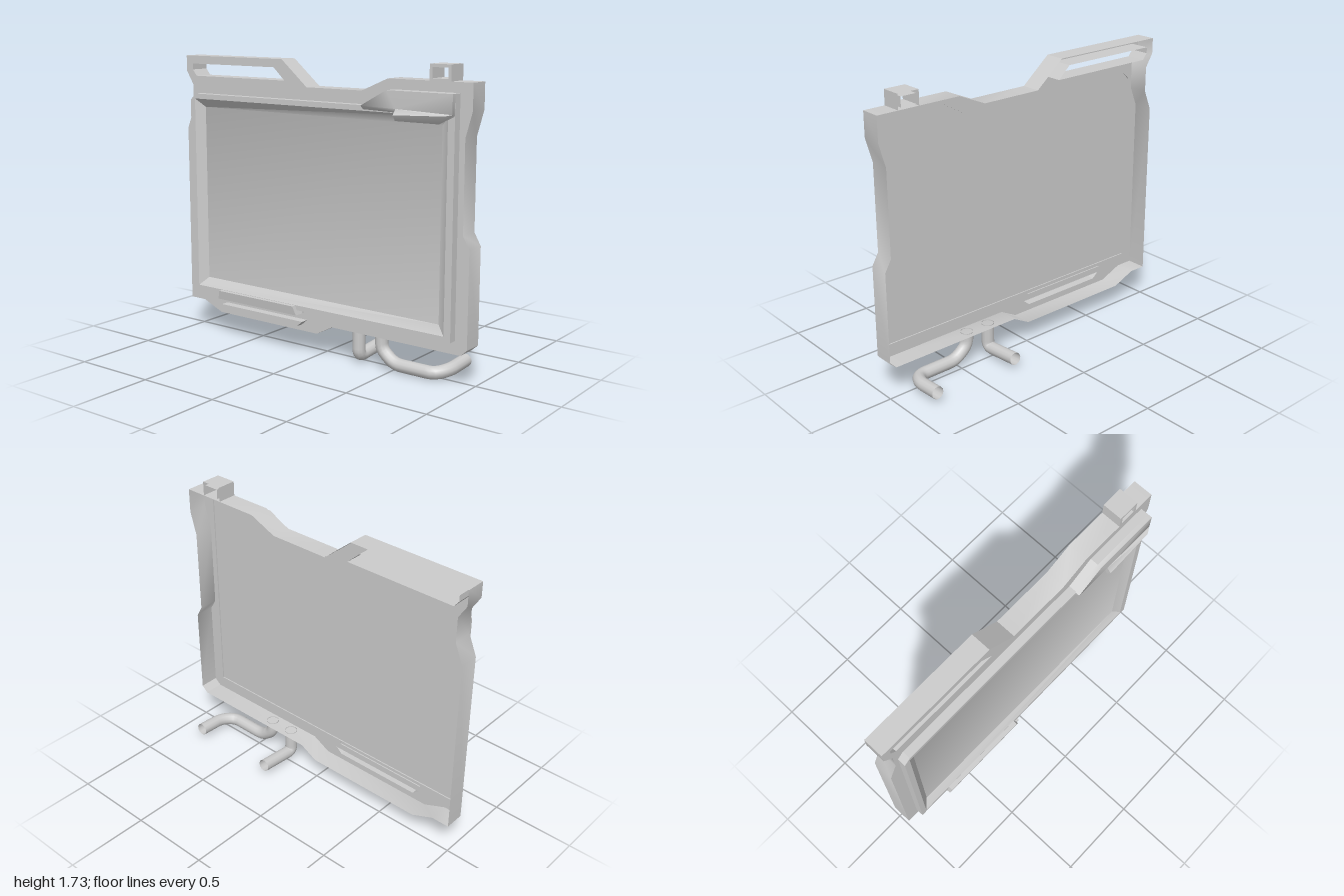
import * as THREE from 'three';
import { ConvexGeometry } from 'three/addons/geometries/ConvexGeometry.js';
import { mergeGeometries, toCreasedNormals } from 'three/addons/utils/BufferGeometryUtils.js';

const material = new THREE.MeshStandardMaterial({ color: 0xcccccc, side: THREE.DoubleSide });
const vectors = (pts) => pts.map(([x, y]) => new THREE.Vector2(x, y));
const rect = (x0, y0, x1, y1) => [[x0, y0], [x1, y0], [x1, y1], [x0, y1]];

// Flat sheet with holes at height z
function sheet(pts, z, holes = []) {
  const shape = new THREE.Shape(vectors(pts));
  shape.holes = holes.map((h) => new THREE.Path(vectors(h)));
  const geometry = new THREE.ShapeGeometry(shape).toNonIndexed().translate(0, 0, z);
  geometry.deleteAttribute('uv');
  return geometry;
}

// Polygons given as corner lists, each split into a fan of triangles
function facets(polygons) {
  const pos = polygons.flatMap((p) => p.slice(2).flatMap((c, i) => [...p[0], ...p[i + 1], ...c]));
  const geometry = new THREE.BufferGeometry();
  geometry.setAttribute('position', new THREE.Float32BufferAttribute(pos, 3));
  geometry.computeVertexNormals();
  return geometry;
}

// Band of quads from loop a at z0 to the matching loop b at z1
const band = (a, b, z0, z1) => facets(a.map((p, i) => {
  const j = (i + 1) % a.length;
  return [[...p, z0], [...a[j], z0], [...b[j], z1], [...b[i], z1]];
}));

// Hollow pressing, open at the back: a front sheet with walls around it and around some holes
function shell(pts, back, front, walledHoles = [], plainHoles = []) {
  return mergeGeometries([
    sheet(pts, front, [...walledHoles, ...plainHoles]),
    band(pts, pts, back, front),
    ...walledHoles.map((h) => band([...h].reverse(), [...h].reverse(), back, front)),
  ]);
}

export function createModel() {
  const model = new THREE.Group();
  model.name = 'displayPanel';
  const add = (name, geometry) => {
    const mesh = new THREE.Mesh(geometry, material);
    mesh.name = name;
    model.add(mesh);
  };

  // Outer case with carry handle, notched sides and stepped lower edge
  const caseOutline = [
    [-1, 0.192], [-0.89, 0.192], [-0.75, 0.133], [0, 0.133], [0.11, 0.192], [0.96, 0.192],
    [1, 0.227], [1, 0.773], [0.96, 0.843], [0.96, 1.352], [1, 1.493], [1, 1.638],
    [0.48, 1.638], [0.31, 1.565], [-0.07, 1.565], [-0.25, 1.716], [-1, 1.716],
    [-1, 1.623], [-0.95, 1.543], [-0.95, 1.393], [-1, 1.273],
  ];
  const handleHole = [[-0.92, 1.595], [-0.23, 1.595], [-0.31, 1.668], [-0.95, 1.668], [-0.95, 1.632]];
  const slot = [[-0.66, 0.17], [-0.11, 0.17], [-0.07, 0.204], [-0.7, 0.204]];
  const upperEdge = [[0.926, 1.582], [0.52, 1.582], [0.36, 1.492], [-0.885, 1.492], [-0.925, 1.454]];
  const backOutline = [
    [-0.925, 0.268], [-0.71, 0.268], [-0.71, 0.242], [-0.1, 0.242], [-0.1, 0.268],
    [0.926, 0.268], ...upperEdge,
  ];
  add('case', toCreasedNormals(shell(caseOutline, -0.015, 0.105, [handleHole], [backOutline, slot]), 0.6));
  add('backPanel', sheet(backOutline, 0.112));
  add('backPanelRim', band(backOutline, backOutline, 0.105, 0.112));
  add('lowerBar', shell(slot, 0.105, 0.155));

  // Square strap loop on the top edge
  add('strapLoop', shell(rect(0.74, 1.638, 0.87, 1.725), -0.015, 0.105, [rect(0.757, 1.65, 0.853, 1.708)]));

  // Raised surround
  const opening = rect(-0.89, 0.297, 0.885, 1.462);
  const glass = rect(-0.84, 0.347, 0.835, 1.411);
  add('bezel', shell([[-0.925, 0.268], [0.926, 0.268], ...upperEdge], 0.105, 0.155, [], [opening]));

  // Sloping walls and the screen, which lies a little shallower towards its left
  const tray = mergeGeometries([band(opening, glass, 0.155, 0.117), sheet(glass, 0.117)]);
  const position = tray.attributes.position;
  for (let i = 0; i < position.count; i++) {
    if (position.getZ(i) < 0.15) position.setZ(i, 0.119 + 0.006 * position.getX(i));
  }
  add('screen', toCreasedNormals(tray, 0.6));

  // Corner hood: face flowing into a tapered lip, with undercut lower edge
  const a = [0.355, 1.492, 0.18], b = [0.52, 1.582, 0.18], c = [0.926, 1.582, 0.18];
  const d = [0.924, 1.476, 0.18], e = [0.58, 1.487, 0.18];
  const crest = [0.58, 1.456, 0.206], crestEnd = [0.89, 1.468, 0.2];
  const low = [0.58, 1.424, 0.184], lowEnd = [0.85, 1.424, 0.184];
  const root = [0.58, 1.462, 0.152], rootEnd = [0.924, 1.466, 0.152];
  const flat = ([x, y]) => [x, y, 0.152];
  const under = [0.355, 1.468, 0.152];
  add('hood', toCreasedNormals(facets([
    [a, e, b], [b, e, c], [c, e, d], [e, crest, crestEnd, d],
    [crest, low, lowEnd, crestEnd], [crestEnd, lowEnd, d],
    [low, root, rootEnd, lowEnd], [lowEnd, rootEnd, d],
    [e, root, low, crest], [a, under, root, e],
    [a, b, flat(b), flat(a)], [b, c, flat(c), flat(b)],
    [c, d, rootEnd, flat(c)], [a, flat(a), under],
  ]), 1));

  // Finger tab under the screen
  const tab = [[-0.71, 0.242, 0.175], [-0.1, 0.242, 0.175], [-0.12, 0.295, 0.183], [-0.695, 0.295, 0.183]];
  add('lowerTab', new ConvexGeometry(tab.flatMap(([x, y, z]) => [
    new THREE.Vector3(x, y, z),
    new THREE.Vector3(x, y, 0.115),
  ])));

  // Bent open pipes leaving the underside
  const pipe = (name, pts) => {
    const points = pts.map((p) => new THREE.Vector3(...p));
    const path = new THREE.CurvePath();
    let from = points[0];
    for (let i = 1; i < points.length - 1; i++) {
      // Round each corner with a short curve
      const p = points[i];
      const reach = (q) => p.clone().add(q.clone().sub(p).setLength(Math.min(0.045, q.distanceTo(p) * 0.48)));
      const start = reach(points[i - 1]), end = reach(points[i + 1]);
      path.add(new THREE.LineCurve3(from, start));
      path.add(new THREE.QuadraticBezierCurve3(start, p, end));
      from = end;
    }
    path.add(new THREE.LineCurve3(from, points[points.length - 1]));
    add(name, new THREE.TubeGeometry(path, 28, 0.038, 12));
  };
  pipe('shortPipe', [[0.263, 0.197, 0.05], [0.263, 0.038, 0.05], [0.263, 0.06, -0.2]]);
  pipe('longPipe', [[0.42, 0.197, 0.05], [0.42, 0.11, 0.05], [0.51, 0.038, 0.05],
    [0.77, 0.038, 0.05], [0.822, 0.05, -0.03], [0.822, 0.06, -0.2]]);

  return model;
}
